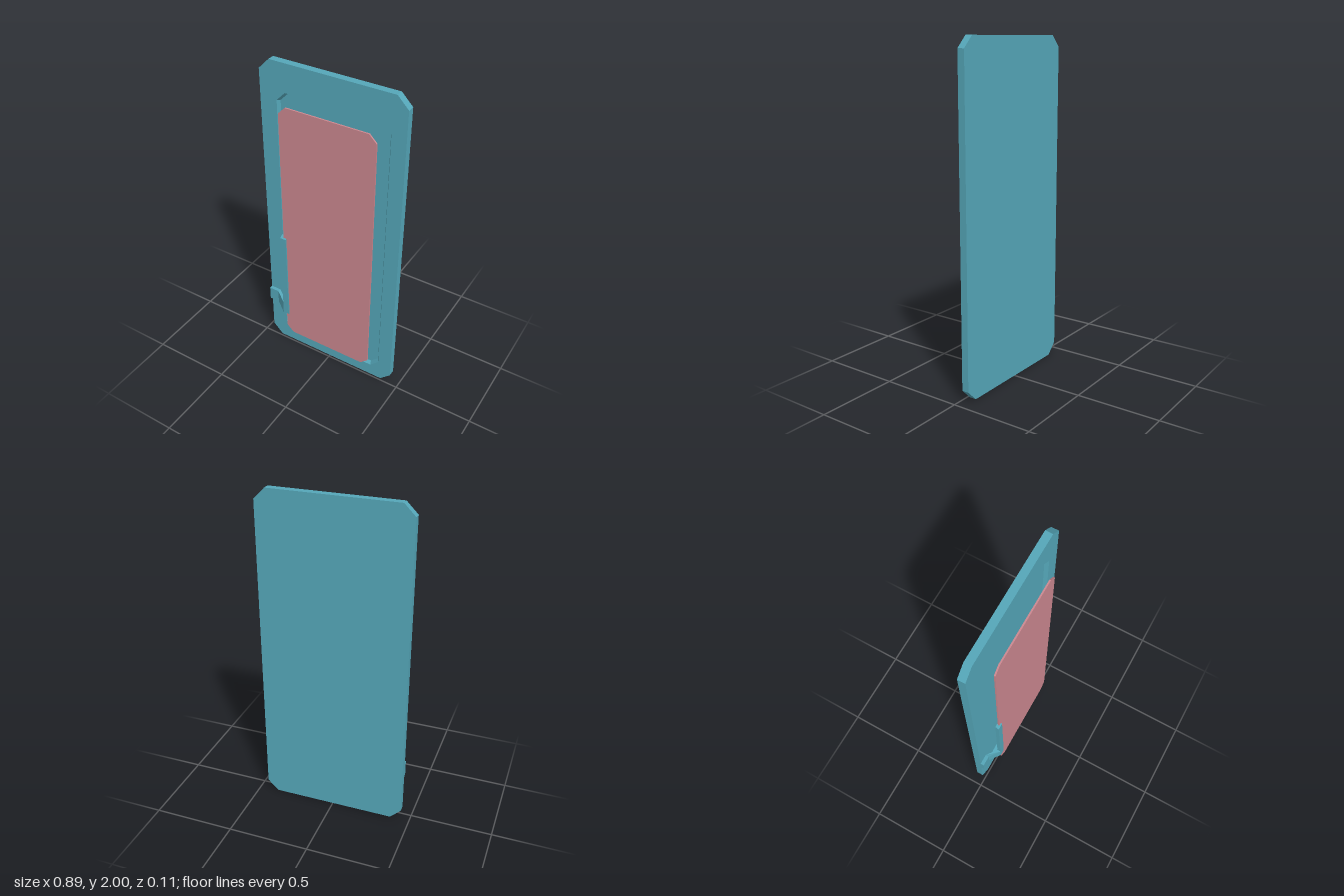
import * as THREE from 'three';

const teal = new THREE.MeshStandardMaterial({ color: 0x55a7b9, flatShading: true, side: THREE.DoubleSide });
const pink = new THREE.MeshStandardMaterial({ color: 0xcc8890, flatShading: true, side: THREE.DoubleSide });

// Corner points of a rectangle with chamfered corners, counter-clockwise
function octagon(x0, x1, y0, y1, c) {
  return [[x0 + c, y0], [x1 - c, y0], [x1, y0 + c], [x1, y1 - c],
    [x1 - c, y1], [x0 + c, y1], [x0, y1 - c], [x0, y0 + c]].map(p => new THREE.Vector2(...p));
}

// Flat plate between two depths, with an optional hole
function plate(points, z0, z1, hole) {
  const shape = new THREE.Shape(points);
  if (hole) shape.holes.push(new THREE.Path(hole));
  return new THREE.ExtrudeGeometry(shape, { depth: z1 - z0, bevelEnabled: false }).translate(0, 0, z0);
}

// Skin joining rings of equal point count, with optional flat quad caps
function loft(rings, capped) {
  const n = rings[0].length, index = [];
  for (let i = 0; i < rings.length - 1; i++) {
    for (let j = 0; j < n; j++) {
      const a = i * n + j, b = i * n + (j + 1) % n;
      index.push(a, b, b + n, a, b + n, a + n);
    }
  }
  if (capped) {
    const e = (rings.length - 1) * n;
    index.push(0, 2, 1, 0, 3, 2, e, e + 1, e + 2, e, e + 2, e + 3);
  }
  const g = new THREE.BufferGeometry();
  g.setAttribute('position', new THREE.Float32BufferAttribute(rings.flat(2), 3));
  g.setIndex(index);
  const flat = g.toNonIndexed();
  flat.computeVertexNormals();
  return flat;
}

// Slanted four-sided section at x: back and front heights, back and front depth
function section(x, topBack, topFront, lowBack, lowFront, zBack, zFront) {
  return [[x, lowBack, zBack], [x, topBack, zBack], [x, topFront, zFront], [x, lowFront, zFront]];
}

export function createModel() {
  const model = new THREE.Group();
  const add = (name, geometry, material = teal, parent = model) => {
    const mesh = new THREE.Mesh(geometry, material);
    mesh.name = name;
    parent.add(mesh);
    return mesh;
  };

  // Door slab with a shallow, slope-walled recess in its front
  const back = -0.056, floor = -0.033, face = -0.013;
  const outline = octagon(-0.445, 0.445, 0, 2, 0.066);
  const rim = octagon(-0.338, 0.358, 0.082, 1.83, 0.055);
  const inner = octagon(-0.326, 0.346, 0.098, 1.82, 0.05);
  const door = new THREE.Group();
  door.name = 'door';
  model.add(door);
  add('backSlab', plate(outline, back, floor), teal, door);
  add('frontFrame', plate(outline, floor, face, rim), teal, door);
  add('recessWall', loft([
    rim.map(p => [p.x, p.y, face]),
    inner.map(p => [p.x, p.y, floor]),
  ]), teal, door);

  // Thin floating panel
  add('panel', plate(octagon(-0.29, 0.31, 0.137, 1.78, 0.045), 0.038, 0.047), pink);

  // Low knob behind the panel
  const knob = add('knob', new THREE.CylinderGeometry(0.014, 0.044, 0.038, 8).rotateX(Math.PI / 2));
  knob.position.set(0.167, 0.245, -0.014);

  // Bracket: arm stepping forward from the frame to an upright grip
  const bracket = new THREE.Group();
  bracket.name = 'bracket';
  model.add(bracket);
  add('arm', loft([
    section(-0.445, 0.4, 0.4, 0.29, 0.312, face, 0.009),
    section(-0.38, 0.4, 0.4, 0.29, 0.312, face, 0.009),
    section(-0.31, 0.385, 0.378, 0.275, 0.287, 0.033, 0.055),
    section(-0.29, 0.385, 0.378, 0.275, 0.287, 0.033, 0.055),
  ], true), teal, bracket);
  add('grip', loft([
    section(-0.31, 0.91, 0.895, 0.278, 0.29, 0.033, 0.055),
    section(-0.27, 0.91, 0.895, 0.278, 0.29, 0.033, 0.055),
  ], true), teal, bracket);

  return model;
}
